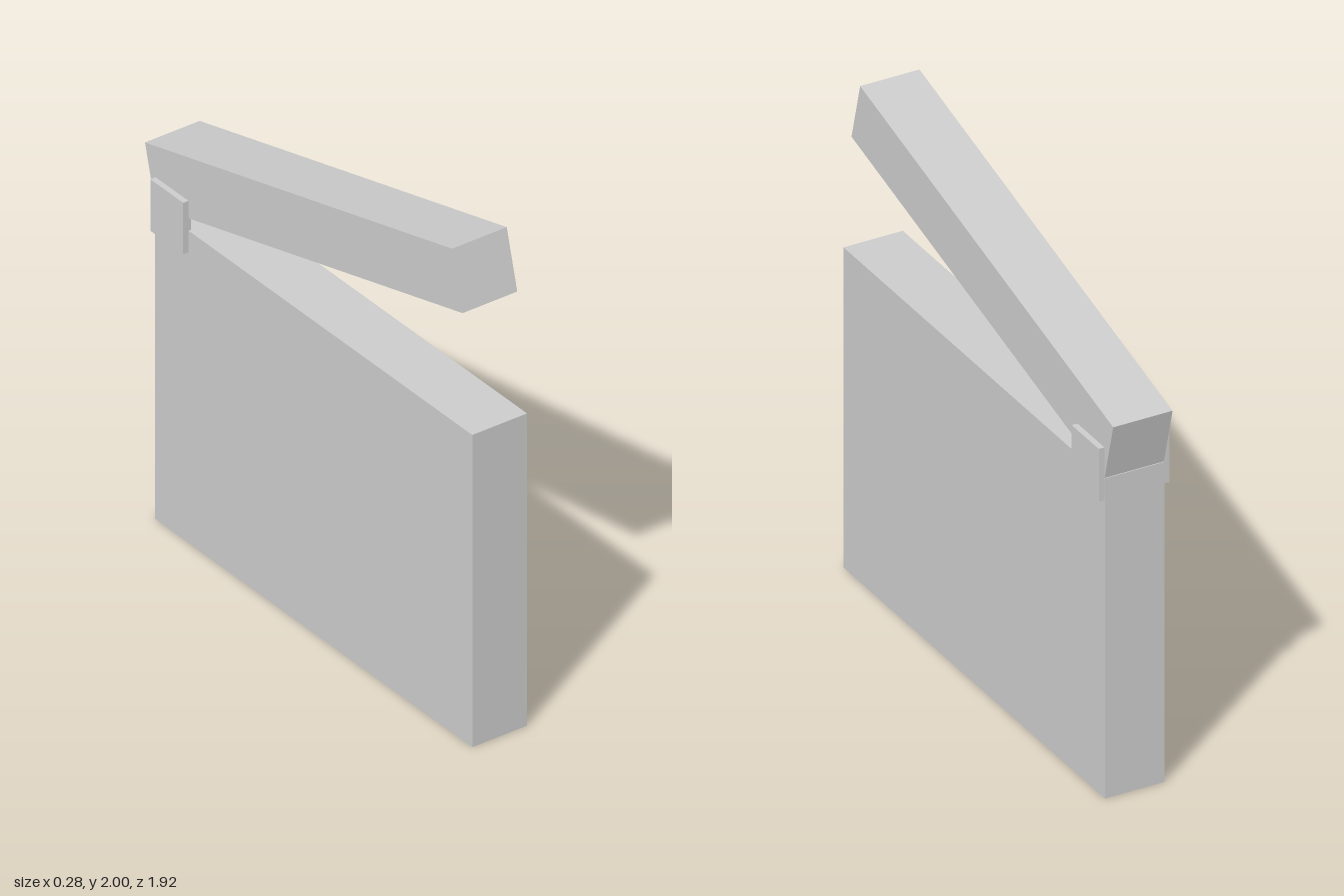
import * as THREE from 'three';

export function createModel() {
  const model = new THREE.Group();
  const material = new THREE.MeshStandardMaterial({ color: 0xcccccc, flatShading: true });

  const addBox = (name, size, position) => {
    const mesh = new THREE.Mesh(new THREE.BoxGeometry(...size), material);
    mesh.name = name;
    mesh.position.set(...position);
    model.add(mesh);
    return mesh;
  };

  // Upright slab
  addBox('board', [0.238, 1.29, 1.864], [0, 0.645, 0.03]);

  // Clap stick, raised at the front and touching the board at its back corner
  const stick = addBox('clapStick', [0.238, 0.243, 1.865], [0, 1.645, -0.028]);
  stick.rotation.x = -0.257;

  // Hinge plates, slightly sunk into both sides
  for (const [name, side] of [['leftHingePlate', 1], ['rightHingePlate', -1]]) {
    addBox(name, [0.034, 0.213, 0.193], [side * 0.125, 1.307, -0.802]);
  }

  return model;
}
